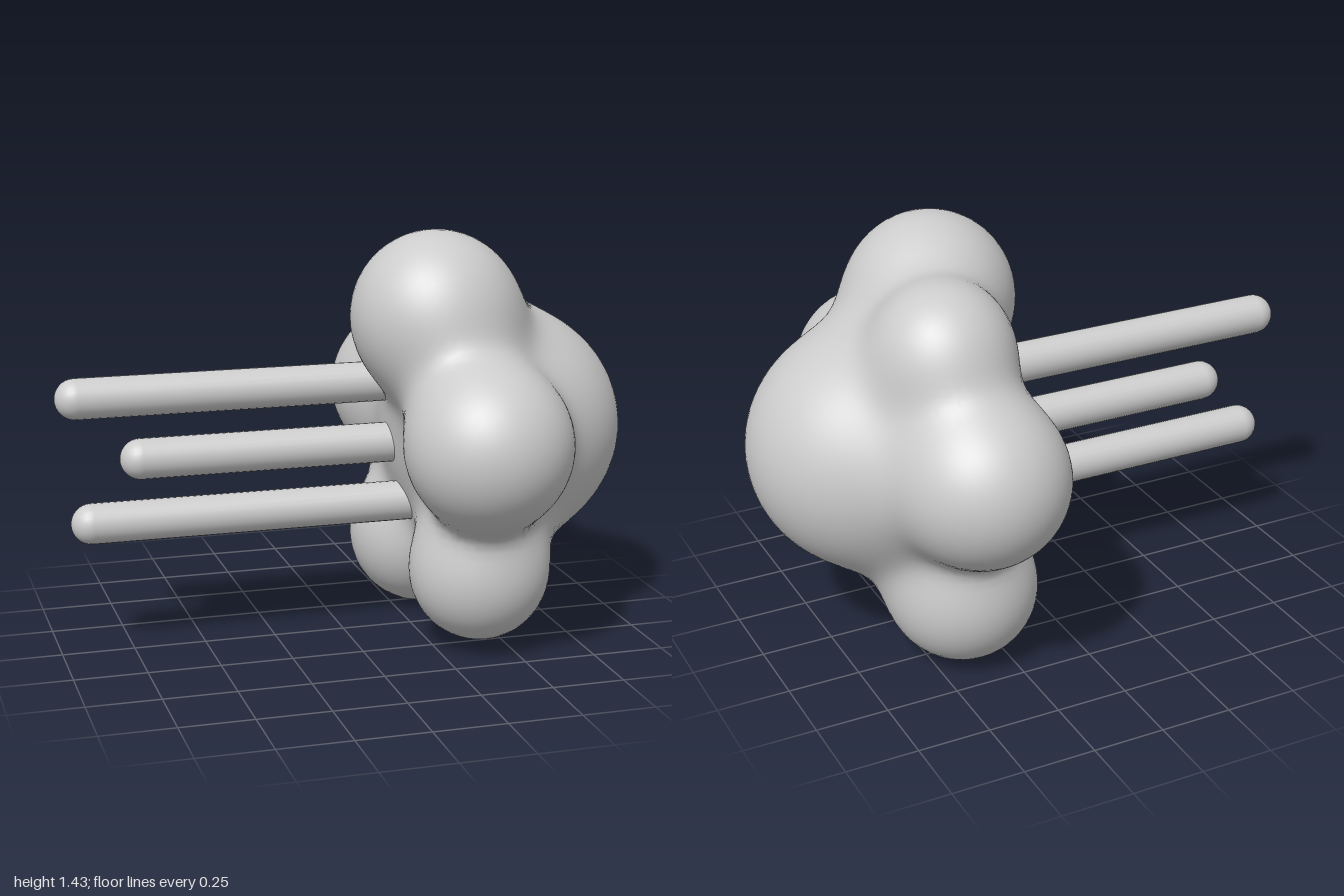
import * as THREE from 'three';

// Puffs of the cloud: x, y, z, radius
const PUFFS = [
  [0.58, 0.72, 0, 0.415],       // core
  [0.28, 1.15, 0.155, 0.288],   // top front
  [0.42, 1.135, -0.27, 0.222],  // top back
  [0.355, 0.765, 0.5, 0.275],   // front
  [0.39, 0.77, -0.5, 0.28],     // back
  [0.40, 0.275, 0.295, 0.235],  // bottom front
  [0.37, 0.26, -0.27, 0.255],   // bottom back
];
const BLEND = 0.072;

// Smooth union of the puffs: negative inside, positive outside
function field(x, y, z) {
  let sum = 0;
  for (const [a, b, c, r] of PUFFS) {
    sum += Math.exp(-(Math.hypot(x - a, y - b, z - c) - r) / BLEND);
  }
  return -BLEND * Math.log(sum);
}

function gradient(p) {
  const e = 0.002;
  return new THREE.Vector3(
    field(p.x + e, p.y, p.z) - field(p.x - e, p.y, p.z),
    field(p.x, p.y + e, p.z) - field(p.x, p.y - e, p.z),
    field(p.x, p.y, p.z + e) - field(p.x, p.y, p.z - e),
  ).divideScalar(2 * e);
}

// Skin the field: one vertex per crossed cell, one quad per crossed grid edge
function blendedGeometry(min, max, step) {
  const n = [0, 1, 2].map((i) => Math.ceil((max[i] - min[i]) / step) + 1);
  const stride = [1, n[0], n[0] * n[1]];
  const total = n[0] * n[1] * n[2];
  const values = new Float32Array(total);
  const cellVertex = new Int32Array(total).fill(-1);
  const at = (i, j, k) => i + j * stride[1] + k * stride[2];
  const eachPoint = (end, visit) => {
    for (let k = 0; k < n[2] - end; k++)
      for (let j = 0; j < n[1] - end; j++)
        for (let i = 0; i < n[0] - end; i++) visit(i, j, k, at(i, j, k));
  };

  eachPoint(0, (i, j, k, id) => {
    values[id] = field(min[0] + i * step, min[1] + j * step, min[2] + k * step);
  });

  const positions = [], normals = [], index = [];
  eachPoint(1, (i, j, k, id) => {
    const p = new THREE.Vector3();
    let crossings = 0;
    for (let corner = 0; corner < 8; corner++) {
      const bits = [corner & 1, (corner >> 1) & 1, (corner >> 2) & 1];
      const start = id + bits[0] + bits[1] * stride[1] + bits[2] * stride[2];
      for (let axis = 0; axis < 3; axis++) {
        if (bits[axis]) continue;
        const v0 = values[start], v1 = values[start + stride[axis]];
        if ((v0 < 0) === (v1 < 0)) continue;
        const q = [i + bits[0], j + bits[1], k + bits[2]];
        q[axis] += v0 / (v0 - v1);
        p.add(new THREE.Vector3(...q));
        crossings++;
      }
    }
    if (!crossings) return;
    p.multiplyScalar(step / crossings).add(new THREE.Vector3(...min));
    // Pull the averaged point onto the exact surface
    const g = gradient(p);
    p.addScaledVector(g, -field(p.x, p.y, p.z) / Math.max(g.lengthSq(), 0.3));
    cellVertex[id] = positions.length / 3;
    positions.push(p.x, p.y, p.z);
    normals.push(...gradient(p).normalize().toArray());
  });

  eachPoint(1, (i, j, k, id) => {
    for (let axis = 0; axis < 3; axis++) {
      const inside = values[id] < 0;
      if (inside === (values[id + stride[axis]] < 0)) continue;
      const u = stride[(axis + 1) % 3], v = stride[(axis + 2) % 3];
      const [a, b, c, d] = [id - u - v, id - v, id, id - u].map((cell) => cellVertex[cell]);
      if (inside) index.push(a, b, c, a, c, d);
      else index.push(a, c, b, a, d, c);
    }
  });

  const geometry = new THREE.BufferGeometry();
  geometry.setAttribute('position', new THREE.Float32BufferAttribute(positions, 3));
  geometry.setAttribute('normal', new THREE.Float32BufferAttribute(normals, 3));
  geometry.setIndex(index);
  return geometry;
}

export function createModel() {
  const lightGrey = new THREE.MeshStandardMaterial({ color: 0xcccccc });
  lightGrey.name = 'lightGrey';
  const model = new THREE.Group();
  model.name = 'cloudWithStreaks';

  // Puffy cloud body
  const cloud = new THREE.Mesh(
    blendedGeometry([-0.12, -0.12, -0.9], [1.12, 1.56, 0.9], 0.03), lightGrey);
  cloud.name = 'cloud';
  model.add(cloud);

  // Three round-ended rods trailing out of the cloud: height, tip x
  const radius = 0.07, inner = 0.45;
  [['upperStreak', 0.9, -1], ['middleStreak', 0.68, -0.785], ['lowerStreak', 0.465, -0.957]]
    .forEach(([name, y, tip]) => {
      const rod = new THREE.Mesh(
        new THREE.CapsuleGeometry(radius, inner - tip - 2 * radius, 8, 24), lightGrey);
      rod.name = name;
      rod.rotation.z = Math.PI / 2;
      rod.position.set((inner + tip) / 2, y, 0.008);
      model.add(rod);
    });

  return model;
}
